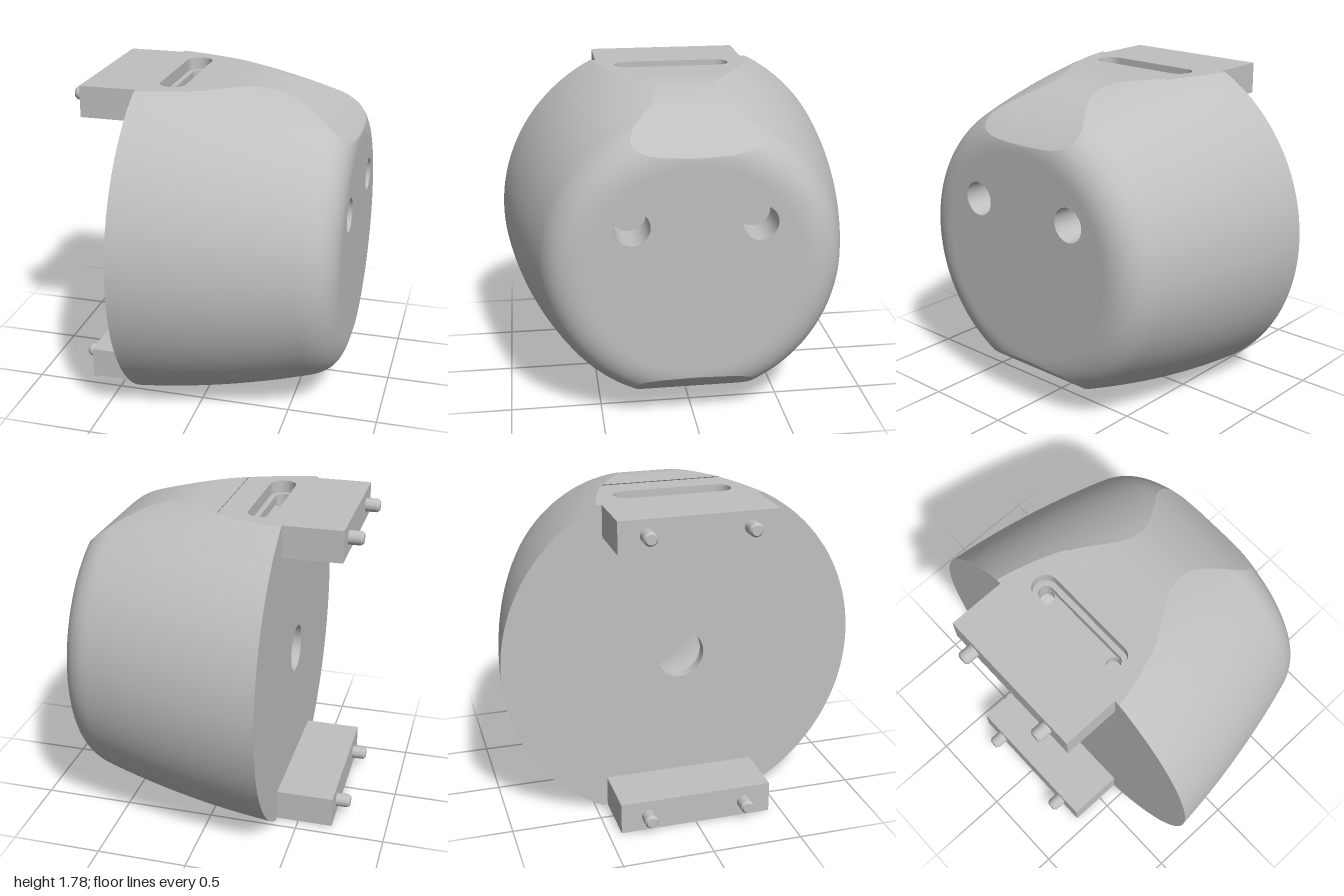
import * as THREE from 'three';

const grey = new THREE.MeshStandardMaterial({ color: 0xc0c0c0, side: THREE.DoubleSide });
grey.name = 'plain grey';

const MID = 0.892;        // height of the housing axis
const BACK = -0.375, SEAM = 0, FRONT = 0.775;
const BASE_H = 0.888;     // half height of the flats on the base
const SHELL_H = 0.892;

const wallRadius = x => 1 - 0.09 * (x - BACK) - 0.105 * (x - BACK) ** 2;

// half height of the shell's upper and lower cuts: flat, then an arc
function cutHeight(x) {
  const d = Math.max(0, x - 0.13), r = 0.893;
  return SHELL_H - r + Math.sqrt(r * r - d * d);
}

function mesh(name, geometry) {
  const m = new THREE.Mesh(geometry, grey);
  m.name = name;
  return m;
}

// one strip of the skin; point(ring, t) gives [x, y, z]
function strip(rings, cols, point) {
  const pos = [], idx = [];
  rings.forEach(r => {
    for (let j = 0; j <= cols; j++) pos.push(...point(r, j / cols));
  });
  const w = cols + 1;
  for (let i = 0; i < rings.length - 1; i++) {
    for (let j = 0; j < cols; j++) {
      const a = i * w + j, b = a + w;
      idx.push(a, b, b + 1, a, b + 1, a + 1);
    }
  }
  const g = new THREE.BufferGeometry();
  g.setAttribute('position', new THREE.Float32BufferAttribute(pos, 3));
  g.setIndex(idx);
  g.computeVertexNormals();
  return g;
}

// round walls on both sides, optionally with the cut faces above and below
function skin(name, rings, withCuts) {
  const group = new THREE.Group();
  group.name = name;
  const edge = r => Math.asin(Math.min(1, r.h / r.r));
  for (const turn of [0, Math.PI]) {
    const side = mesh(name + 'Side', strip(rings, 64, (r, t) => {
      const a = edge(r) * (2 * t - 1);
      return [r.x, r.r * Math.sin(a), r.r * Math.cos(a)];
    }));
    side.rotation.x = turn;
    group.add(side);
    if (!withCuts) continue;
    const cut = mesh(name + 'Cut', strip(rings, 8, (r, t) =>
      [r.x, Math.min(r.h, r.r), r.r * Math.cos(edge(r)) * (1 - 2 * t)]));
    cut.rotation.x = turn;
    group.add(cut);
  }
  return group;
}

function circlePath(x, y, r) {
  return new THREE.Path().absarc(x, y, r, 0, Math.PI * 2, true);
}

// slot running along z, drawn in the (x, z) plane
function slotPath(x, half, r) {
  const p = new THREE.Path();
  p.absarc(x, half, r, 0, Math.PI, false);
  p.absarc(x, -half, r, Math.PI, Math.PI * 2, false);
  p.closePath();
  return p;
}

function tubeX(name, r, x0, x1, y, z, tip = r, open = true) {
  const g = new THREE.CylinderGeometry(tip, r, x1 - x0, 32, 1, open);
  g.rotateZ(Math.PI / 2);
  g.translate((x0 + x1) / 2, y, z);
  return mesh(name, g);
}

// mounting bracket in three layers, so the slot is stepped
function bracket() {
  const group = new THREE.Group();
  group.name = 'bracket';
  const outline = [];
  for (let i = 0; i <= 10; i++) {
    const x = BACK + (SEAM - BACK) * i / 10;
    outline.push(new THREE.Vector2(x, Math.sqrt(wallRadius(x) ** 2 - BASE_H ** 2)));
  }
  const half = [new THREE.Vector2(-0.695, 0.43), new THREE.Vector2(BACK, 0.43), ...outline];
  const points = [...half, ...half.map(p => new THREE.Vector2(p.x, -p.y)).reverse()];
  const sx = -0.222, sz = 0.255;
  const layers = [
    ['bracketTop', 0.07, [slotPath(sx, sz, 0.073)]],
    ['bracketMiddle', 0.05, [slotPath(sx, sz, 0.042)]],
    ['bracketInner', 0.055, [circlePath(sx, sz, 0.04), circlePath(sx, -sz, 0.04)]],
  ];
  let y = BASE_H;
  for (const [name, depth, holes] of layers) {
    const shape = new THREE.Shape(points);
    shape.holes.push(...holes);
    const g = new THREE.ExtrudeGeometry(shape, { depth, bevelEnabled: false, curveSegments: 16 });
    g.rotateX(-Math.PI / 2);
    y -= depth;
    g.translate(0, y, 0);
    group.add(mesh(name, g));
  }
  // locating pegs with chamfered tips
  for (const z of [-0.277, 0.277]) {
    group.add(tubeX('peg', 0.038, -0.76, -0.695, 0.803, z));
    group.add(tubeX('pegTip', 0.038, -0.775, -0.76, 0.803, z, 0.027, false));
  }
  return group;
}

export function createModel() {
  const model = new THREE.Group();
  model.name = 'housing';
  const body = new THREE.Group();
  body.name = 'body';
  body.position.y = MID;
  model.add(body);

  // base ring
  const baseRings = [];
  for (let i = 0; i <= 8; i++) {
    const x = BACK + (SEAM - BACK) * i / 8;
    baseRings.push({ x, r: wallRadius(x), h: BASE_H });
  }
  body.add(skin('base', baseRings, false));

  // back plate with its central opening
  const a = Math.asin(BASE_H);
  const plate = new THREE.Shape();
  plate.absarc(0, 0, 1, -a, a, false);
  plate.absarc(0, 0, 1, Math.PI - a, Math.PI + a, false);
  plate.closePath();
  plate.holes.push(circlePath(0, 0, 0.135));
  const plateGeometry = new THREE.ShapeGeometry(plate, 64);
  plateGeometry.rotateY(-Math.PI / 2);
  plateGeometry.translate(BACK, 0, 0);
  body.add(mesh('backPlate', plateGeometry));
  body.add(tubeX('backOpeningRim', 0.135, BACK, BACK + 0.06, 0, 0));

  // front shell: tapering wall, then a rounded shoulder
  const rings = [];
  for (let i = 0; i <= 20; i++) {
    const x = SEAM + 0.6 * i / 20;
    rings.push({ x, r: wallRadius(x), h: cutHeight(x) });
  }
  const shoulder = new THREE.QuadraticBezierCurve(
    new THREE.Vector2(0.6, wallRadius(0.6)), new THREE.Vector2(FRONT, 0.76), new THREE.Vector2(FRONT, 0.58));
  shoulder.getPoints(20).slice(1).forEach(p => rings.push({ x: p.x, r: p.y, h: cutHeight(p.x) }));
  body.add(skin('shell', rings, true));

  // end face with two blind holes
  const face = new THREE.Shape().absarc(0, 0, 0.58, 0, Math.PI * 2, false);
  const holeY = 0.258, holeZ = 0.335, holeR = 0.095, holeDepth = 0.22;
  for (const z of [-holeZ, holeZ]) {
    face.holes.push(circlePath(z, holeY, holeR));
    body.add(tubeX('faceHoleWall', holeR, FRONT - holeDepth, FRONT, holeY, z));
    const floor = new THREE.CircleGeometry(holeR, 32);
    floor.rotateY(Math.PI / 2);
    floor.translate(FRONT - holeDepth, holeY, z);
    body.add(mesh('faceHoleFloor', floor));
  }
  const faceGeometry = new THREE.ShapeGeometry(face, 64);
  faceGeometry.rotateY(Math.PI / 2);
  faceGeometry.translate(FRONT, 0, 0);
  body.add(mesh('endFace', faceGeometry));

  // upper and lower brackets
  const upper = bracket(), lower = bracket();
  upper.name = 'upperBracket';
  lower.name = 'lowerBracket';
  lower.rotation.x = Math.PI;
  body.add(upper, lower);
  return model;
}
